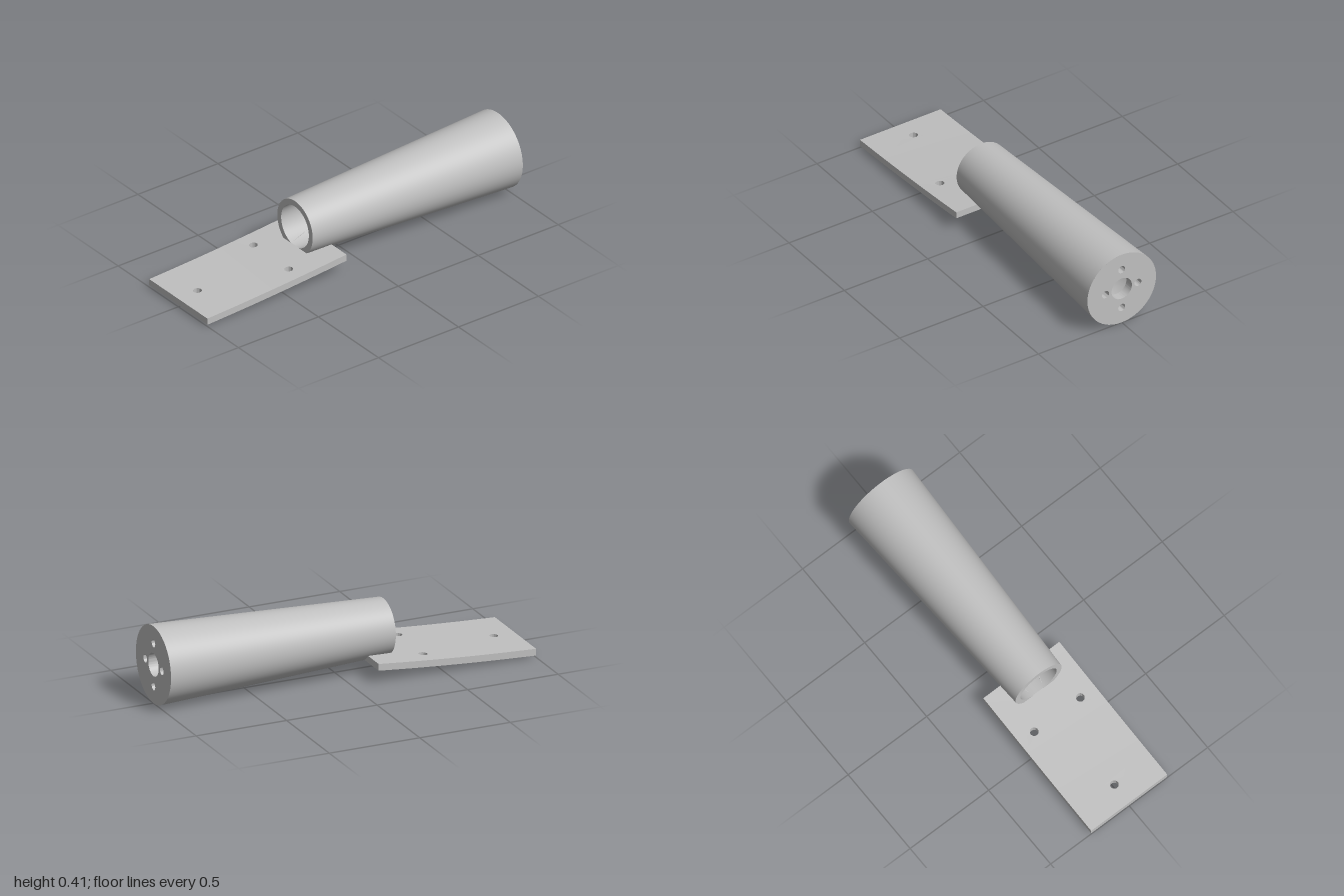
import * as THREE from 'three';
import { mergeGeometries, toCreasedNormals } from 'three/addons/utils/BufferGeometryUtils.js';

const AXIS_Y = 0.207;
const SMALL_X = -0.27, BIG_X = 1, CAP = 0.05;
const PLATE_T = 0.036, HALF_W = 0.242;

function circleHole(x, y, r) {
  const p = new THREE.Path();
  p.absarc(x, y, r, 0, Math.PI * 2, true);
  return p;
}

function extrude(shape, depth) {
  return new THREE.ExtrudeGeometry(shape, { depth, bevelEnabled: false, curveSegments: 32 });
}

// Surface of revolution about the x axis; points are [radius, x]
function revolve(points) {
  const g = new THREE.LatheGeometry(points.map(([r, x]) => new THREE.Vector2(r, x)), 96);
  return g.rotateZ(-Math.PI / 2);
}

// Height of the underside of the gently curved plate
function plateY(x) {
  const t = (x + 1) / 0.87;
  return 0.011 + 0.062 * t - 0.024 * t * (1 - t);
}

// Plan outline raised to plate thickness and bent along x
function plateSlice(points, holes = []) {
  const shape = new THREE.Shape(points.map(([x, z]) => new THREE.Vector2(x, z)));
  shape.holes.push(...holes.map(([x, z]) => circleHole(x, z, 0.022)));
  const g = extrude(shape, PLATE_T).rotateX(-Math.PI / 2);
  const p = g.attributes.position;
  for (let i = 0; i < p.count; i++) p.setY(i, p.getY(i) + plateY(p.getX(i)));
  return g;
}

export function createModel() {
  const model = new THREE.Group();
  const grey = new THREE.MeshStandardMaterial({ color: 0xc0c0c0 });
  grey.name = 'plain grey';
  const add = (parent, name, geometry) => {
    const mesh = new THREE.Mesh(geometry, grey);
    mesh.name = name;
    parent.add(mesh);
  };

  // Hollow tapered tube
  const tube = new THREE.Group();
  tube.name = 'taperedTube';
  tube.position.y = AXIS_Y;
  model.add(tube);
  add(tube, 'outerWall', revolve([[0.147, SMALL_X], [0.206, BIG_X]]));
  add(tube, 'innerWall', revolve([[0.173, BIG_X - CAP], [0.115, SMALL_X]]));
  add(tube, 'openRim', revolve([[0.115, SMALL_X], [0.147, SMALL_X]]));

  // Drilled end cap, narrowed at the back so it sits within the wall
  const disc = new THREE.Shape();
  disc.absarc(0, 0, 0.206, 0, Math.PI * 2);
  disc.holes.push(circleHole(0, 0, 0.061));
  for (const s of [-1, 1]) {
    disc.holes.push(circleHole(s * 0.097, 0, 0.021), circleHole(0, s * 0.115, 0.021));
  }
  const cap = extrude(disc, CAP);
  const p = cap.attributes.position;
  for (let i = 0; i < p.count; i++) {
    const r = Math.hypot(p.getX(i), p.getY(i));
    if (r > 0.19 && p.getZ(i) < CAP / 2) {
      p.setX(i, p.getX(i) * 0.185 / r);
      p.setY(i, p.getY(i) * 0.185 / r);
    }
  }
  cap.rotateY(Math.PI / 2).translate(BIG_X - CAP, 0, 0);
  add(tube, 'endCap', toCreasedNormals(cap, 0.6));

  // Curved mounting plate with three screw holes, built in slices along x
  const cuts = [-1, -0.94, -0.82, -0.72, -0.6, -0.48, -0.36, SMALL_X + 0.002];
  const screws = [[-0.88, 0], [-0.42, 0.147], [-0.42, -0.147]];
  const slices = [];
  for (let i = 0; i < cuts.length - 1; i++) {
    const a = cuts[i], b = cuts[i + 1];
    slices.push(plateSlice(
      [[a, -HALF_W], [b, -HALF_W], [b, HALF_W], [a, HALF_W]],
      screws.filter(([x]) => x > a && x < b)));
  }
  // Two tongues flank the tube, leaving its bore clear
  const a = cuts[cuts.length - 1], b = -0.13;
  for (const s of [-1, 1]) {
    slices.push(plateSlice([[a, s * 0.033], [b, s * 0.073], [b, s * HALF_W], [a, s * HALF_W]]));
  }
  const plate = mergeGeometries(slices);
  plate.computeVertexNormals();
  add(model, 'mountingPlate', toCreasedNormals(plate, 0.5));

  return model;
}
